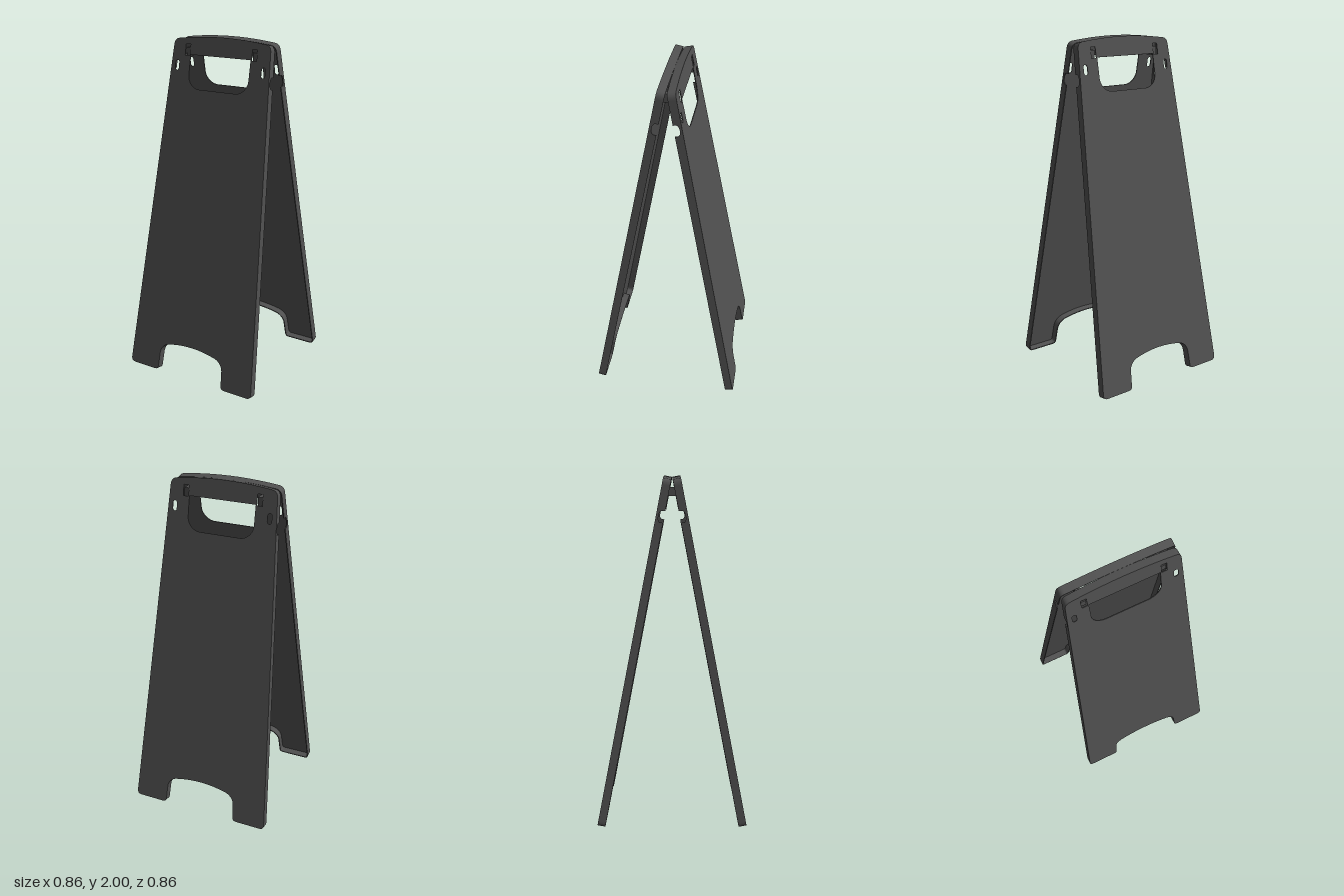
import * as THREE from 'three';
import { mergeGeometries } from 'three/addons/utils/BufferGeometryUtils.js';

const material = new THREE.MeshStandardMaterial({ color: 0x505050 });
const THICK = 0.046;                        // total board depth
const SKIN = 0.005;                         // outer sheet thickness
const WALL = 0.006;                         // rim thickness
const TILT = 0.191;                         // lean of each board
const SPREAD = 0.385;                       // inner foot distance from centre
const G0 = 1.767, G1 = 1.832;               // finger notch range along the rim
const edge = (s) => 0.432 - 0.0565 * s;     // tapered half width

const extrude = (shape, depth) =>
  new THREE.ExtrudeGeometry(shape, { depth, bevelEnabled: false, curveSegments: 10 });

// Outline below the notches: feet and arched cut-out, anticlockwise
function lowerOutline() {
  const p = new THREE.Path();
  p.moveTo(-edge(G0), G0);
  p.lineTo(-edge(0.03), 0.03);
  p.quadraticCurveTo(-0.432, 0, -0.402, 0);
  p.lineTo(-0.25, 0);
  p.quadraticCurveTo(-0.227, 0, -0.226, 0.024);
  p.lineTo(-0.221, 0.112);
  p.quadraticCurveTo(-0.217, 0.155, -0.172, 0.174);
  p.quadraticCurveTo(0, 0.218, 0.172, 0.174);
  p.quadraticCurveTo(0.217, 0.155, 0.221, 0.112);
  p.lineTo(0.226, 0.024);
  p.quadraticCurveTo(0.227, 0, 0.25, 0);
  p.lineTo(0.402, 0);
  p.quadraticCurveTo(0.432, 0, edge(0.03), 0.03);
  p.lineTo(edge(G0), G0);
  return p.getPoints(8);
}

// Outline above the notches: gently curved top
function upperOutline() {
  const p = new THREE.Path();
  p.moveTo(edge(G1), G1);
  p.lineTo(edge(1.97), 1.97);
  p.quadraticCurveTo(0.318, 2.002, 0.29, 2.007);
  p.quadraticCurveTo(0, 2.047, -0.29, 2.007);
  p.quadraticCurveTo(-0.318, 2.002, -edge(1.97), 1.97);
  p.lineTo(-edge(G1), G1);
  return p.getPoints(10);
}

// Upright oval slot for the side of the board
function ovalSlot(x, s0, s1, r) {
  const p = new THREE.Path();
  p.absarc(x, s1 - r, r, 0, Math.PI, false);
  p.absarc(x, s0 + r, r, Math.PI, Math.PI * 2, false);
  p.closePath();
  return p;
}

// Square-cornered slot for a hinge tab
function tabSlot(x, s0, s1, h) {
  const p = new THREE.Path();
  p.moveTo(x - h, s0).lineTo(x + h, s0).lineTo(x + h, s1).lineTo(x - h, s1).closePath();
  return p;
}

// Handle opening with rounded lower corners
function handleHole() {
  const p = new THREE.Path();
  p.moveTo(0.2, 1.917);
  p.lineTo(-0.2, 1.917);
  p.absarc(-0.12, 1.803, 0.08, Math.PI, Math.PI * 1.5, false);
  p.absarc(0.12, 1.803, 0.08, Math.PI * 1.5, Math.PI * 2, false);
  p.closePath();
  return p;
}

// Thin wall standing on the inside of an open outline
function rimBand(points) {
  const inner = points.map((p, i) => {
    const a = points[Math.max(i - 1, 0)];
    const b = points[Math.min(i + 1, points.length - 1)];
    const d = b.clone().sub(a).normalize();
    return new THREE.Vector2(p.x - d.y * WALL, p.y + d.x * WALL);
  });
  return extrude(new THREE.Shape([...points, ...inner.reverse()]), THICK - SKIN);
}

// Piece of rim with a rounded finger notch
function notchedRim(side) {
  const mid = (G0 + G1) / 2;
  const h = (G1 - G0) / 2;
  const s = new THREE.Shape();              // x = depth through board, y = along board
  s.moveTo(0.012, -h);
  s.lineTo(THICK - SKIN, -h);
  s.lineTo(THICK - SKIN, h);
  s.lineTo(0.012, h);
  s.quadraticCurveTo(0.032, h, 0.032, 0);
  s.quadraticCurveTo(0.032, -h, 0.012, -h);
  const g = extrude(s, WALL);
  g.rotateY(-Math.PI / 2);
  g.translate(side > 0 ? 0 : WALL, 0, 0);
  g.rotateZ(side * 0.0565);
  g.translate(side * edge(mid), mid, 0);
  return g;
}

// Outer sheet with all its openings
function skin(lower, upper) {
  const s = new THREE.Shape([...lower, ...upper]);
  s.holes.push(handleHole());
  for (const m of [-1, 1]) {
    s.holes.push(ovalSlot(m * 0.287, 1.823, 1.881, 0.0125));
    s.holes.push(tabSlot(m * 0.222, 1.913, 1.976, 0.016));
  }
  const g = extrude(s, SKIN);
  g.translate(0, 0, THICK - SKIN);
  return g;
}

// Hollow board: sheet plus a rim open towards the inside
function makeBoard(name) {
  const lower = lowerOutline();
  const upper = upperOutline();
  const sheet = new THREE.Mesh(skin(lower, upper), material);
  sheet.name = name + 'Sheet';
  const rim = new THREE.Mesh(
    mergeGeometries([rimBand(lower), rimBand(upper), notchedRim(1), notchedRim(-1)]),
    material
  );
  rim.name = name + 'Rim';
  const leaning = new THREE.Group();
  leaning.name = name + 'Panel';
  leaning.add(sheet, rim);
  leaning.rotation.x = -TILT;
  leaning.position.z = SPREAD;
  const group = new THREE.Group();
  group.name = name;
  group.add(leaning);
  return group;
}

export function createModel() {
  const model = new THREE.Group();
  model.name = 'foldingFloorSign';

  // Two leaning boards
  const front = makeBoard('frontBoard');
  const back = makeBoard('backBoard');
  back.rotation.y = Math.PI;
  model.add(front, back);

  // Hinge tabs linking the boards through their slots
  for (const m of [-1, 1]) {
    const tab = new THREE.Mesh(new THREE.BoxGeometry(0.028, 0.05, 0.108), material);
    tab.name = m > 0 ? 'leftHingeTab' : 'rightHingeTab';
    tab.position.set(m * 0.222, 1.906, 0);
    model.add(tab);
  }
  return model;
}
